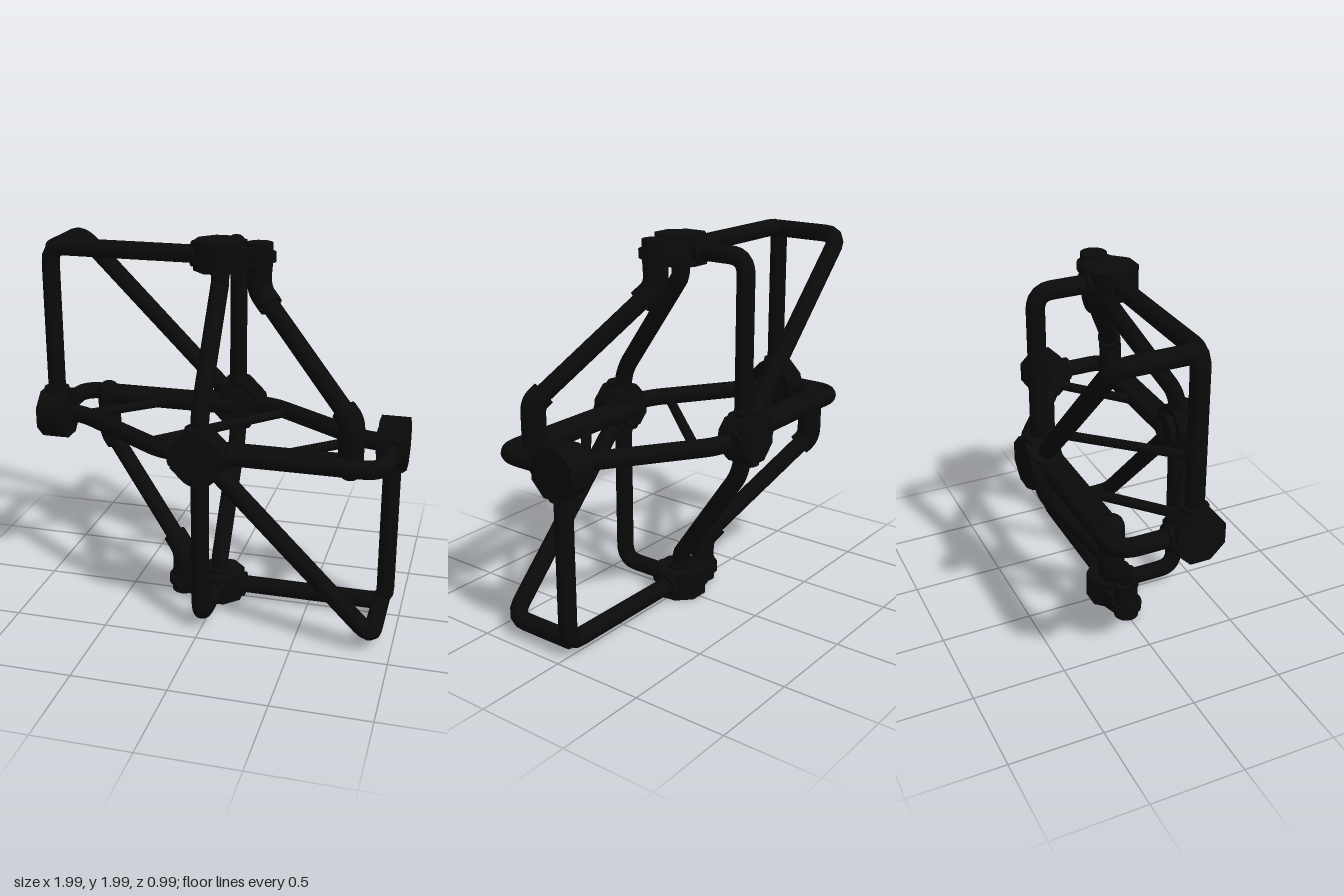
import * as THREE from 'three';
import { mergeGeometries } from 'three/addons/utils/BufferGeometryUtils.js';

const black = new THREE.MeshStandardMaterial({ color: 0x0a0a0a });
black.name = 'black';
const PIPE = 0.047, SLEEVE = 0.064, BRACE = 0.026;
const V = (p) => new THREE.Vector3(...p);
const Y = new THREE.Vector3(0, 1, 0);

// Capped round pipe through points, with rounded bends
function pipeGeometry(points, radius, bend) {
  const path = new THREE.CurvePath();
  let from = points[0];
  for (let i = 1; i < points.length - 1; i++) {
    const p = points[i];
    const toward = (q) => p.clone().lerp(q, Math.min(0.5, bend / p.distanceTo(q)));
    const a = toward(points[i - 1]), b = toward(points[i + 1]);
    path.add(new THREE.LineCurve3(from, a));
    path.add(new THREE.QuadraticBezierCurve3(a, p, b));
    from = b;
  }
  path.add(new THREE.LineCurve3(from, points[points.length - 1]));
  const segments = points.length > 2 ? 48 : 1;
  const parts = [new THREE.TubeGeometry(path, segments, radius, 16, false)];
  for (const t of [0, 1]) {
    const normal = path.getTangentAt(t).multiplyScalar(t ? 1 : -1);
    const cap = new THREE.CircleGeometry(radius, 16);
    cap.applyQuaternion(new THREE.Quaternion().setFromUnitVectors(new THREE.Vector3(0, 0, 1), normal));
    const end = path.getPointAt(t);
    cap.translate(end.x, end.y, end.z);
    parts.push(cap);
  }
  return mergeGeometries(parts);
}

// Build one half; s = -1 gives the half mirrored through the centre.
// All coordinates are relative to the centre of the frame.
function buildHalf(s) {
  const half = new THREE.Group();
  half.name = s > 0 ? 'upperHalf' : 'lowerHalf';
  const add = (name, geometry, position) => {
    const mesh = new THREE.Mesh(geometry, black);
    mesh.name = name;
    if (position) mesh.position.copy(position);
    half.add(mesh);
    return mesh;
  };
  const pipe = (name, pts, radius = PIPE, bend = 0.09) =>
    add(name, pipeGeometry(pts.map((p) => V(p).multiplyScalar(s)), radius, bend));
  const drum = (name, center, axis, radius, length, sides) => {
    const g = new THREE.CylinderGeometry(radius, radius, length, sides);
    if (sides === 8) g.rotateY(Math.PI / 8);
    const mesh = add(name, g, V(center).multiplyScalar(s));
    mesh.quaternion.setFromUnitVectors(Y, V(axis).normalize());
  };

  // Square-cornered pipes
  pipe('topLeftPipe', [[0, 0.92, 0], [-0.92, 0.92, 0], [-0.92, 0, 0]], PIPE, 0.08);
  pipe('topBackPipe', [[0, 0.92, 0], [0, 0.92, -0.4], [0, 0, -0.4]]);
  pipe('leftBackPipe', [[-0.92, 0, 0], [-0.92, 0, -0.4], [0, 0, -0.4]], PIPE, 0.11);

  // Diagonal pipe from the outer corner to the back joint
  pipe('diagonalPipe', [[-0.9, 0.91, 0], [-0.9, 0.91, -0.4], [0, 0, -0.4]]);

  // Slanted pipes
  pipe('topFrontPipe', [[0, 0.92, 0], [0, 0.78, 0], [0.0, 0.77, 0.005], [0.39, 0.2, 0.395], [0.39, 0, 0.4]]
    .map(([, y, z]) => [0, y, z]));
  pipe('rightBackPipe', [[0, 0, -0.397], [0.2, 0, -0.397], [0.78, 0, 0], [0.92, 0, 0]]);

  // Sleeved side pipe running from the top joint to the front rail
  const bendA = [0.205, 0.755, 0], bendB = [0.75, 0.22, 0.345];
  const along = (t) => bendA.map((a, i) => a + (bendB[i] - a) * t);
  pipe('sidePipe', [bendA, bendB]);
  pipe('upperSleeve', [[0.205, 0.93, 0], bendA, along(0.13)], SLEEVE, 0.05);
  pipe('lowerSleeve', [along(0.91), bendB, [0.75, -0.02, 0.345]], SLEEVE, 0.05);
  add('sleeveEnd', new THREE.SphereGeometry(SLEEVE, 16, 12), V([0.75, -0.02, 0.345]).multiplyScalar(s));
  pipe('innerRail', [[0.75, 0, 0.335], [0, 0, 0.335]], PIPE);

  // Thin braces in the horizontal plane
  pipe('sideBrace', [[-0.78, 0, 0.02], [-0.31, 0, -0.39]], BRACE);
  pipe('middleBrace', [[0, 0, 0], [0.31, 0, -0.33]], BRACE);

  // Joints: an octagonal drum with collars where pipes enter
  const joint = (name, center, axis, collars) => {
    drum(name, center, axis, 0.138, 0.15, 8);
    for (const c of collars) {
      const d = V(c).normalize();
      const mid = V(center).addScaledVector(d, 0.073);
      drum(name + 'Collar', mid.toArray(), c, 0.068, 0.145, 16);
    }
  };
  joint('topJoint', [0, 0.922, 0], [0, 1, 0], [[-1, 0, 0], [0, 0, -1]]);
  joint('leftJoint', [-0.922, 0, 0], [1, 0, 0], [[0, 1, 0], [0, 0, -1]]);
  joint('backJoint', [0, 0, -0.422], [0, 0, 1],
    [[-1, 0, 0], [1, 0, 0], [0, 1, 0], [0, -1, 0], [-1, 1, 0]]);
  drum('topJointSocket', [0, 0.85, 0], [0, 1, 0], 0.068, 0.04, 16);
  drum('leftJointSocket', [-0.85, 0, 0], [1, 0, 0], 0.068, 0.03, 16);
  drum('backJointSocket', [0, 0, -0.35], [0, 0, 1], 0.1, 0.08, 8);

  // Tapered arm that holds the side pipe beside the top joint
  const arm = new THREE.Shape([[0, -0.125], [0.205, -0.065], [0.205, 0.065], [0, 0.125]]
    .map(([x, y]) => new THREE.Vector2(x, y)));
  const armGeometry = new THREE.ExtrudeGeometry(arm, { depth: 0.1, bevelEnabled: false });
  armGeometry.rotateX(-Math.PI / 2);
  armGeometry.translate(0, -0.05, 0);
  const armMesh = add('jointArm', armGeometry, V([0, 0.93, 0]).multiplyScalar(s));
  if (s < 0) armMesh.rotation.y = Math.PI;
  drum('armSocket', [0.205, 0.935, 0], [0, 1, 0], 0.068, 0.12, 16);
  drum('armRing', [0.205, 0.925, 0], [0, 1, 0], 0.085, 0.045, 16);
  return half;
}

export function createModel() {
  const model = new THREE.Group();
  model.name = 'pipeFrame';
  const frame = new THREE.Group();
  frame.name = 'frame';
  frame.position.y = 1;
  frame.add(buildHalf(1), buildHalf(-1));
  model.add(frame);
  return model;
}
